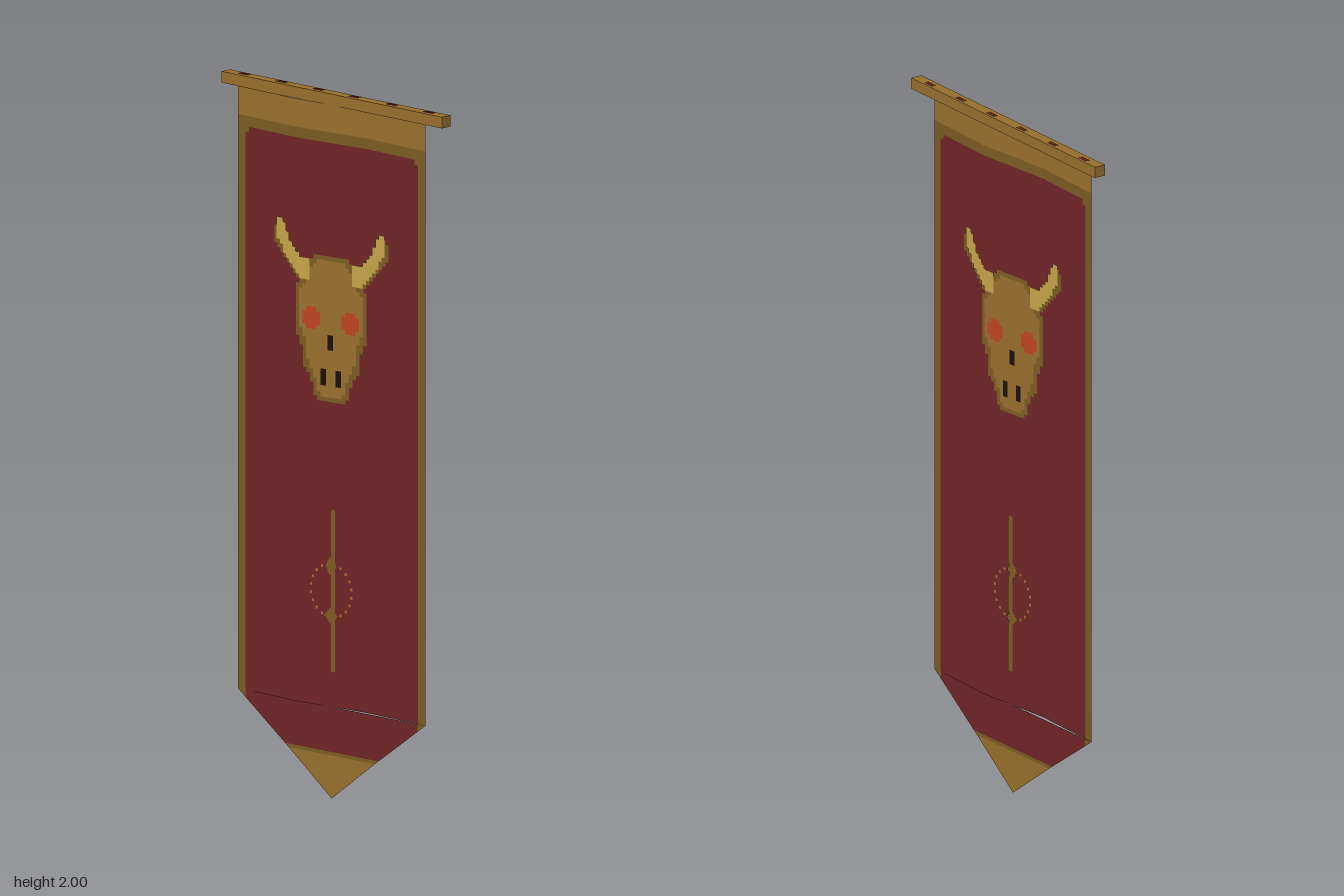
import * as THREE from 'three';

const paint = (name, color) => {
  const m = new THREE.MeshStandardMaterial({ color, side: THREE.DoubleSide });
  m.name = name;
  return m;
};

// Zigzag folds of the hanging cloth: depth at each x
const FOLDS = [[-0.36, 0.016], [-0.12, 0.023], [0.12, -0.003], [0.36, 0.004]];
function foldZ(x) {
  let i = 0;
  while (i < 2 && x > FOLDS[i + 1][0]) i++;
  const [x0, z0] = FOLDS[i], [x1, z1] = FOLDS[i + 1];
  return z0 + ((z1 - z0) * (x - x0)) / (x1 - x0);
}

// Rectangles [x0, x1, y0, y1] laid on the folds, cut where a fold runs through
function drape(name, material, rects, offset = 0) {
  const pos = [];
  for (const [x0, x1, y0, y1] of rects) {
    const xs = [x0, ...[-0.12, 0.12].filter((f) => f > x0 && f < x1), x1];
    for (let i = 0; i < xs.length - 1; i++) {
      const a = xs[i], b = xs[i + 1];
      const za = foldZ(a) + offset, zb = foldZ(b) + offset;
      const quad = [a, y0, za, b, y0, zb, b, y1, zb, a, y0, za, b, y1, zb, a, y1, za];
      if (offset < 0) {
        for (let t = 0; t < 18; t += 9) {
          const second = quad.splice(t + 3, 3);
          quad.splice(t + 6, 0, ...second);
        }
      }
      pos.push(...quad);
    }
  }
  const geo = new THREE.BufferGeometry();
  geo.setAttribute('position', new THREE.Float32BufferAttribute(pos, 3));
  geo.computeVertexNormals();
  const mesh = new THREE.Mesh(geo, material);
  mesh.name = name;
  return mesh;
}

// Turn an outline into stepped rows of rectangles
function rows(points, step = 0.0125) {
  const ys = points.map((p) => p[1]);
  const snap = (v) => Math.round(v / step) * step;
  const out = [];
  for (let y = snap(Math.min(...ys)); y < Math.max(...ys) - step / 2; y += step) {
    const cy = y + step / 2, hits = [];
    points.forEach(([ax, ay], i) => {
      const [bx, by] = points[(i + 1) % points.length];
      if (ay > cy !== by > cy) hits.push(ax + ((bx - ax) * (cy - ay)) / (by - ay));
    });
    hits.sort((a, b) => a - b);
    for (let i = 0; i + 1 < hits.length; i += 2) {
      const a = snap(hits[i]), b = snap(hits[i + 1]);
      if (b > a) out.push([a, b, y, y + step]);
    }
  }
  return out;
}

const mirror = (rects) => [...rects, ...rects.map(([a, b, c, d]) => [-b, -a, c, d])];
const symmetric = (half) => [...half, ...half.map(([x, y]) => [-x, y]).reverse()];

export function createModel() {
  const red = paint('crimson cloth', 0x702527);
  const trim = paint('dark gold trim', 0x7c5d22);
  const gold = paint('gold', 0x99702e);
  const horn = paint('pale horn', 0xc6a54a);
  const ember = paint('ember red', 0xc04322);
  const black = paint('near black', 0x1a0e0a);

  const model = new THREE.Group();
  model.name = 'banner';

  // Crossbar with cloth loops showing on top
  const bar = new THREE.Mesh(new THREE.BoxGeometry(0.86, 0.032, 0.034), gold);
  bar.name = 'crossbar';
  bar.position.set(0, 1.983, -0.007);
  model.add(bar);
  for (const x of [-0.36, -0.215, -0.07, 0.07, 0.215, 0.36]) {
    for (const z of [-0.014, -0.006]) {
      const loop = new THREE.Mesh(new THREE.BoxGeometry(0.035, 0.002, 0.004), red);
      loop.name = 'clothLoop';
      loop.position.set(x, 1.999, z);
      model.add(loop);
    }
  }

  // Cloth field, trim and top band
  model.add(
    drape('clothField', red, [[-0.33, 0.33, 0.26, 1.845], [-0.315, 0.315, 1.845, 1.86]]),
    drape('clothTrim', trim, [
      ...mirror([[-0.36, -0.33, 0.26, 1.89], [-0.33, -0.315, 1.845, 1.86]]),
      [-0.33, 0.33, 1.86, 1.89],
    ]),
    drape('topBand', gold, [[-0.36, 0.36, 1.89, 1.97]])
  );

  // Pointed lower end: a flat piece behind the folded hem
  const edge = (x) => 0.005 + (0.255 * x) / 0.36;
  const edgeX = (y) => ((y - 0.005) * 0.36) / 0.255;
  const flat = (name, material, points) => {
    const geo = new THREE.ShapeGeometry(new THREE.Shape(points.map(([x, y]) => new THREE.Vector2(x, y))));
    const p = geo.attributes.position;
    for (let i = 0; i < p.count; i++) p.setZ(i, 0.01 - p.getX(i) / 60);
    geo.computeVertexNormals();
    const mesh = new THREE.Mesh(geo, material);
    mesh.name = name;
    model.add(mesh);
  };
  flat('pointCloth', red, symmetric([[-0.33, 0.26], [-0.33, edge(0.33)], [-edgeX(0.132), 0.132]]));
  flat('pointTrim', trim, symmetric([[-edgeX(0.132), 0.132], [-edgeX(0.122), 0.122]]));
  flat('pointTip', gold, [[-edgeX(0.122), 0.122], [0, 0.0], [edgeX(0.122), 0.122]]);
  for (const s of [-1, 1]) {
    const corner = [[s * 0.36, 0.26], [s * 0.33, 0.26], [s * 0.33, edge(0.33)]];
    flat('pointCorner', trim, corner);
  }

  // Outlines of the horned skull
  const skull = symmetric([
    [-0.045, 1.543], [-0.085, 1.515], [-0.105, 1.46], [-0.128, 1.44], [-0.128, 1.32],
    [-0.108, 1.29], [-0.1, 1.22], [-0.07, 1.18], [-0.055, 1.135], [-0.03, 1.123],
  ]);
  const face = symmetric([
    [-0.035, 1.53], [-0.07, 1.5], [-0.09, 1.45], [-0.113, 1.43], [-0.113, 1.335],
    [-0.09, 1.29], [-0.08, 1.225], [-0.055, 1.185], [-0.042, 1.15], [-0.025, 1.14],
  ]);
  const hornLine = [
    [-0.205, 1.615], [-0.178, 1.628], [-0.15, 1.575], [-0.11, 1.53], [-0.07, 1.53],
    [-0.07, 1.465], [-0.1, 1.46], [-0.15, 1.51], [-0.205, 1.57],
  ];
  const eye = Array.from({ length: 12 }, (_, i) => {
    const a = ((i + 0.5) * Math.PI) / 6;
    return [-0.068 + 0.031 * Math.cos(a), 1.357 + 0.035 * Math.sin(a)];
  });

  // Lower emblem: a staff, two diamonds and a dotted ring
  const diamond = (y) => rows([[0, y - 0.026], [0.022, y], [0, y + 0.026], [-0.022, y]], 0.006);
  const dots = Array.from({ length: 20 }, (_, i) => {
    const a = ((i + 0.5) * Math.PI) / 10;
    const x = 0.072 * Math.cos(a), y = 0.59 + 0.075 * Math.sin(a);
    return [x - 0.004, x + 0.004, y - 0.004, y + 0.004];
  });

  // The same painted figures appear on both faces of the cloth
  for (const s of [1, -1]) {
    const art = new THREE.Group();
    art.name = s > 0 ? 'frontFigures' : 'backFigures';
    const shade = hornLine.map(([x, y]) => [x - 0.004, y - 0.013]);
    art.add(
      drape('hornShade', trim, mirror(rows(shade)), s * 0.0012),
      drape('skullOutline', trim, rows(skull), s * 0.002),
      drape('skullFace', gold, rows(face), s * 0.003),
      drape('horns', horn, mirror(rows(hornLine)), s * 0.004),
      drape('eyes', ember, mirror(rows(eye)), s * 0.004),
      drape('noseAndTeeth', black, [
        [-0.011, 0.009, 1.272, 1.315],
        ...mirror([[-0.036, -0.017, 1.17, 1.217]]),
      ], s * 0.004),
      drape('staff', trim, [[-0.001, 0.014, 0.36, 0.82]], s * 0.002),
      drape('diamonds', trim, [...diamond(0.66), ...diamond(0.52)], s * 0.003),
      drape('dottedRing', gold, dots, s * 0.002)
    );
    model.add(art);
  }
  return model;
}
